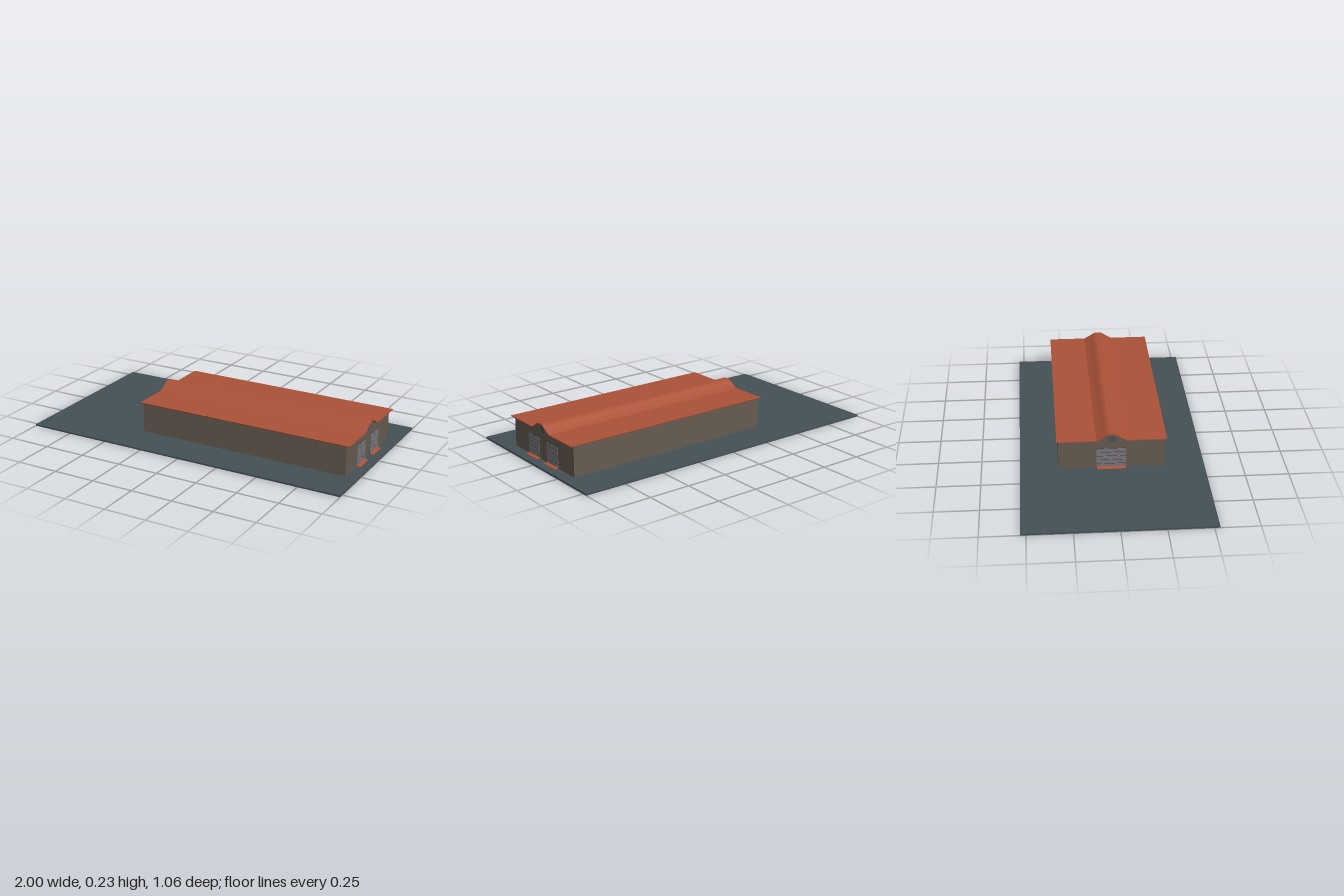
import * as THREE from 'three';

const paint = (color) => new THREE.MeshStandardMaterial({ color, flatShading: true });
const mats = {
  slab: paint(0x455157), wall: paint(0x665c50), roof: paint(0xab5238),
  door: paint(0x78767c), groove: paint(0x3c3b40), glass: paint(0x46545c),
};

const X0 = -0.37, X1 = 0.93, ZC = -0.004, BASE = 0.01;
// half of the raised ridge, from outside to middle: [distance from centre, height]
const ridge = [[0.088, 0.189], [0.062, 0.203], [0.03, 0.224], [0.014, 0.23]];

function box(name, mat, x0, x1, y0, y1, z0, z1) {
  const mesh = new THREE.Mesh(new THREE.BoxGeometry(x1 - x0, y1 - y0, z1 - z0), mat);
  mesh.position.set((x0 + x1) / 2, (y0 + y1) / 2, (z0 + z1) / 2);
  mesh.name = name;
  return mesh;
}

// Top edge of the cross-section, from one eave to the other
function topLine(halfWidth) {
  const side = [[halfWidth, 0.189], ...ridge];
  return [...side.map(([z, y]) => [-z, y]), ...side.slice().reverse()];
}

// Extrude a cross-section along the length of the building
function alongX(name, mat, points, x0, x1) {
  const shape = new THREE.Shape(points.map(([z, y]) => new THREE.Vector2(-z, y)));
  const geo = new THREE.ExtrudeGeometry(shape, { depth: x1 - x0, bevelEnabled: false });
  geo.rotateY(Math.PI / 2);
  const mesh = new THREE.Mesh(geo, mat);
  mesh.position.set(x0, 0, ZC);
  mesh.name = name;
  return mesh;
}

// Slatted roller door with a ramp; dir is +1 or -1 along x
function rollerDoor(name, x, dir, z0, z1) {
  const group = new THREE.Group();
  group.name = name;
  const span = (part, mat, a, b, y0, y1, inset = 0) => group.add(
    box(part, mat, Math.min(x + dir * a, x + dir * b), Math.max(x + dir * a, x + dir * b),
      y0, y1, z0 + inset, z1 - inset));
  span('doorBacking', mats.groove, -0.004, 0.001, BASE, 0.135);
  const count = 5, pitch = (0.135 - BASE) / count;
  for (let i = 0; i < count; i++) {
    const y = BASE + i * pitch;
    span('doorSlat', mats.door, 0, 0.003, y + 0.002, y + pitch - 0.002);
  }
  // low ramp, sloping down away from the wall
  const ramp = new THREE.BoxGeometry(0.024, 0.008, z1 - z0);
  const pos = ramp.attributes.position;
  for (let i = 0; i < pos.count; i++) {
    if (pos.getX(i) * dir > 0 && pos.getY(i) > 0) pos.setY(i, -0.002);
  }
  ramp.computeVertexNormals();
  const rampMesh = new THREE.Mesh(ramp, mats.roof);
  rampMesh.name = 'ramp';
  rampMesh.position.set(x + dir * 0.012, BASE + 0.004, (z0 + z1) / 2);
  group.add(rampMesh);
  return group;
}

function roundWindow(x, dir) {
  const mesh = new THREE.Mesh(new THREE.CylinderGeometry(0.022, 0.022, 0.006, 24), mats.glass);
  mesh.rotation.z = Math.PI / 2;
  mesh.position.set(x - dir * 0.001, 0.194, 0);
  mesh.name = 'roundWindow';
  return mesh;
}

export function createModel() {
  const model = new THREE.Group();
  model.name = 'warehouse';

  model.add(box('groundSlab', mats.slab, -1, 1, 0, BASE, -0.53, 0.53));

  // Walls with gable ends
  const wallTop = topLine(0.305);
  model.add(alongX('walls', mats.wall, [[-0.305, BASE], ...wallTop, [0.305, BASE]], X0, X1));

  // Thin roof sheet following the ridge, overhanging all round
  const under = topLine(0.313);
  const over = under.map(([z, y]) => [z * 1.005, y + 0.005]);
  model.add(alongX('roof', mats.roof, [...under, ...over.reverse()], -0.385, 0.95));

  // Two doors on one end, one wide door on the other
  model.add(rollerDoor('doorLeft', X1, 1, 0.038, 0.152));
  model.add(rollerDoor('doorRight', X1, 1, -0.152, -0.038));
  model.add(rollerDoor('rearDoor', X0, -1, -0.09, 0.078));

  model.add(roundWindow(X1, 1), roundWindow(X0, -1));
  return model;
}
